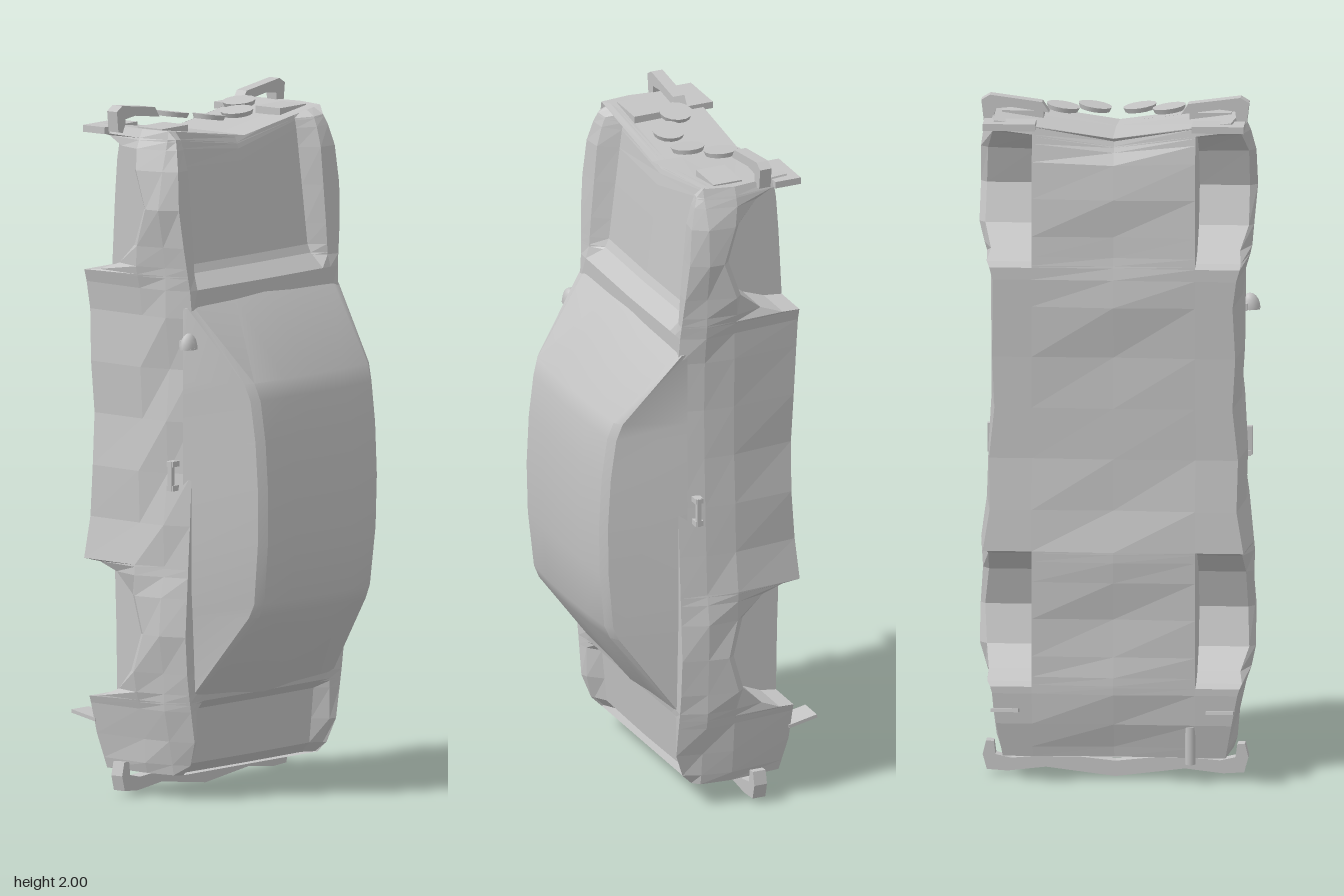
import * as THREE from 'three';
import { mergeVertices, toCreasedNormals } from 'three/addons/utils/BufferGeometryUtils.js';

const grey = new THREE.MeshStandardMaterial({ color: 0xc4c4c4, side: THREE.DoubleSide });
grey.name = 'bare grey metal';

// Linear lookup in [key, value] pairs
function lookup(table, y) {
  if (y <= table[0][0]) return table[0][1];
  for (let i = 1; i < table.length; i++) {
    const [k0, v0] = table[i - 1], [k1, v1] = table[i];
    if (y <= k1) return v0 + (v1 - v0) * (y - k0) / (k1 - k0);
  }
  return table[table.length - 1][1];
}

// Closed loft through rings of equal length; ends are strips through the middle line
function loft(rings, capped) {
  const pos = [];
  const tri = (...ps) => ps.forEach((p) => pos.push(p.x, p.y, p.z));
  const n = rings[0].length, half = n / 2;
  for (let i = 0; i < rings.length - 1; i++) {
    for (let j = 0; j < n; j++) {
      const k = (j + 1) % n;
      const a = rings[i][j], b = rings[i][k], c = rings[i + 1][j], d = rings[i + 1][k];
      tri(a, c, b); tri(b, c, d);
    }
  }
  if (capped) [rings[0], rings[rings.length - 1]].forEach((r, end) => {
    const mid = (p, q) => {
      const m = p.clone().lerp(q, 0.5);
      if (end) m.y = Math.min(m.y, r[half].y + 0.01);
      return m;
    };
    for (let j = 0; j < half; j++) {
      const a = r[j], b = r[j + 1], c = r[(n - j) % n], d = r[n - 1 - j];
      const m0 = mid(a, c), m1 = mid(b, d);
      const faces = [[m0, m1, b], [m0, b, a], [c, d, m1], [c, m1, m0]];
      faces.forEach(([p, q, s]) => (end ? tri(p, q, s) : tri(p, s, q)));
    }
  });
  const g = new THREE.BufferGeometry();
  g.setAttribute('position', new THREE.Float32BufferAttribute(pos, 3));
  g.computeVertexNormals();
  return g;
}

// Mirror a half outline [x, z] (centre bottom to centre top) into a full ring
function ring(half, place) {
  const left = half.slice(1, -1).reverse().map(([x, z]) => [-x, z]);
  return [...half, ...left].map(([x, z]) => place(x, z));
}

// Lower body tables along the length
const WIDTH = [[0.07, 0.335], [0.2, 0.36], [0.35, 0.39], [0.48, 0.4], [0.7, 0.385], [0.9, 0.37],
  [1.25, 0.36], [1.48, 0.37], [1.6, 0.39], [1.72, 0.402], [1.85, 0.39], [1.94, 0.36]];
const BOTTOM = [[0.07, -0.22], [0.2, -0.25], [0.5, -0.255], [0.7, -0.262], [0.95, -0.243],
  [1.25, -0.255], [1.5, -0.27], [1.8, -0.255], [1.94, -0.235]];
const SHOULDER = [[0.07, 0.05], [0.1, 0.08], [0.17, 0.105], [1.4, 0.105], [1.6, 0.092], [1.85, 0.07], [1.92, 0.045], [1.94, 0.01]];
const DECK = [[0.07, 0.02], [0.1, 0.05], [0.26, 0.065], [0.29, 0.1], [1.48, 0.1], [1.53, 0.045], [1.9, 0.0], [1.94, -0.01]];
const ARCHES = [{ y: 0.48, r: 0.2, top: -0.05 }, { y: 1.715, r: 0.2, top: -0.035 }];

function bodyRing(y) {
  const w = lookup(WIDTH, y), zb = lookup(BOTTOM, y), zs = lookup(SHOULDER, y), zd = lookup(DECK, y);
  let za = zb;
  for (const a of ARCHES) {
    const t = (y - a.y) / a.r;
    if (Math.abs(t) < 1) za = zb + (a.top - zb) * Math.sqrt(1 - t * t);
  }
  const half = [
    [0, zb + 0.01 * Math.sin(y * 17)], [0.235, zb], [0.235, za], [w * 0.955, za],
    [w, Math.max(za + 0.02, -0.06)], [w * 0.975, 0.03], [w * 0.915, zs],
    [0.305, Math.max(zs - 0.008, zd)], [0.27, zd], [0, zd + 0.004],
  ];
  const crush = 0.06 * THREE.MathUtils.clamp((y - 1.8) / 0.14, 0, 1);
  return ring(half, (x, z) => {
    const side = Math.abs(x) > 0.34 && z < 0.04;
    const dent = side ? 0.007 * Math.sin(y * 21 + z * 30 + Math.sign(x)) : 0;
    return new THREE.Vector3(x + dent, y - crush * Math.max(0, 1 - Math.abs(x) / 0.34), z);
  });
}

// Cabin: y, roof height, roof half width, base half width
const CABIN = [[0.31, 0.1, 0.31, 0.325], [0.54, 0.288, 0.258, 0.338], [0.58, 0.305, 0.255, 0.342], [0.75, 0.322, 0.26, 0.345],
  [0.9, 0.325, 0.262, 0.347], [1.05, 0.317, 0.264, 0.347], [1.17, 0.301, 0.267, 0.347], [1.22, 0.285, 0.275, 0.347], [1.43, 0.1, 0.335, 0.345]];

function cabinRing([y, h, t, b]) {
  const lift = Math.min(1, (h - 0.08) / 0.2);
  const half = [[0, 0.08], [b, 0.08], [t + 0.01, h - 0.028 * lift], [t - 0.015, h - 0.011 * lift], [0.13, h - 0.003], [0, h]];
  const bow = (1 - lift) * (y > 1 ? 0.02 : -0.03);
  return ring(half, (x, z) => new THREE.Vector3(x, y + bow * (1 - Math.abs(x) / 0.35), z));
}

// Flat outline in x, y pushed from z0 to z1
function plate(points, z0, z1) {
  const shape = new THREE.Shape(points.map(([x, y]) => new THREE.Vector2(x, y)));
  return new THREE.ExtrudeGeometry(shape, { depth: z1 - z0, bevelEnabled: false }).translate(0, 0, z0);
}

export function createModel() {
  const model = new THREE.Group();
  model.name = 'wreckedCar';
  const add = (name, geometry, x = 0, y = 0, z = 0) => {
    const mesh = new THREE.Mesh(geometry, grey);
    mesh.name = name;
    mesh.position.set(x, y, z);
    model.add(mesh);
    return mesh;
  };
  const box = (w, h, d) => new THREE.BoxGeometry(w, h, d);

  // Lower body with wheel wells, sunken bonnet and boot
  const stations = [0.07, 0.1, 0.17, 0.26, 0.8, 0.95, 1.1, 1.25, 1.4, 1.48, 1.94];
  for (const a of ARCHES) for (const t of [-1, -0.97, -0.85, -0.55, 0, 0.55, 0.85, 0.97, 1]) stations.push(a.y + a.r * t);
  stations.sort((p, q) => p - q);
  add('body', loft(stations.map(bodyRing), true));

  // Smooth glasshouse and roof
  const cabin = loft(CABIN.map(cabinRing), true);
  cabin.deleteAttribute('normal');
  add('cabin', toCreasedNormals(mergeVertices(cabin), 0.5));

  // Bent rear bumper
  const rearHalf = [[0, 0.012], [0.2, 0.025], [0.31, 0.012], [0.37, 0.016], [0.382, 0.06], [0.372, 0.1],
    [0.35, 0.098], [0.345, 0.06], [0.3, 0.05], [0.16, 0.062], [0, 0.045]];
  rearHalf[0][1] = 0;
  const rearLeft = rearHalf.slice(1, -1).reverse().map(([x, y]) => [-x, y]);
  add('rearBumper', plate([...rearHalf, ...rearLeft], -0.155, -0.115));

  for (const s of [-1, 1]) {
    // Broken front bumper halves with wrapped ends
    const half = [[0.19, 1.95], [0.3, 1.965], [0.345, 1.96], [0.35, 1.92], [0.378, 1.925], [0.385, 1.985], [0.36, 2], [0.21, 1.98]];
    const pts = half.map(([x, y]) => [s * x, y]);
    add('frontBumper', plate(s > 0 ? pts : pts.reverse(), -0.168, -0.132));

    // Loose headlamp discs
    for (const [x, y, z] of [[0.153, 1.955, -0.114], [0.065, 1.943, -0.051]]) {
      const lamp = add('headlamp', new THREE.CylinderGeometry(0.049, 0.044, 0.014, 14), s * x, y, z);
      lamp.rotation.z = s * 0.15;
    }
    // Lamp surround
    add('lampSurround', box(0.12, 0.03, 0.09), s * 0.27, 1.925, -0.055);

    // Front valance corner
    add('valance', box(0.15, 0.02, 0.08), s * 0.3, 1.925, -0.225);

    // Mud flaps
    add('mudFlap', box(0.078, 0.01, 0.09), s * 0.309, 0.218, -0.285).rotation.x = 0.2;

    // Door handles
    add('doorHandle', box(0.014, 0.085, 0.014), s * 0.374, 0.945, 0.058);
    for (const y of [0.91, 0.98]) add('handleMount', box(0.03, 0.016, 0.024), s * 0.362, y, 0.056);
  }

  // Single door mirror, domed towards the nose
  const mirror = new THREE.SphereGeometry(0.03, 10, 5, 0, Math.PI * 2, 0, Math.PI / 2).scale(1, 1.5, 0.75);
  add('mirror', mirror, -0.37, 1.32, 0.12);
  add('mirrorGlass', new THREE.CylinderGeometry(0.03, 0.03, 0.004, 10).scale(1, 1, 0.75), -0.37, 1.32, 0.12);
  add('mirrorStem', box(0.03, 0.02, 0.04), -0.35, 1.33, 0.1);

  // Tail pipe
  add('tailPipe', new THREE.CylinderGeometry(0.015, 0.015, 0.11, 8), -0.22, 0.11, -0.235);
  return model;
}
